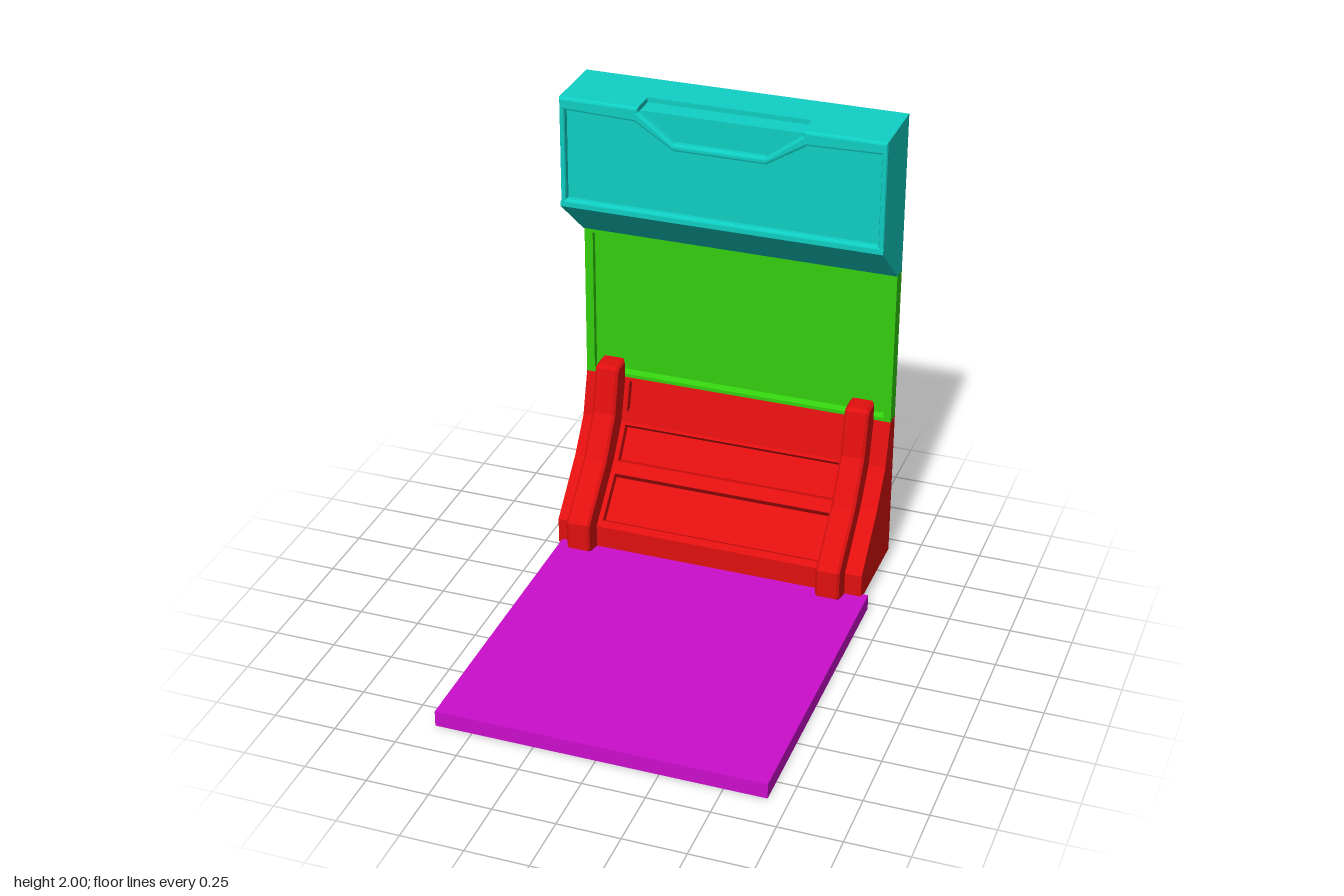
import * as THREE from 'three';

const TEAL = 0x0fd0c4, GREEN = 0x34d00e, RED = 0xe00f0f, MAGENTA = 0xcc0ecc;
const X0 = -0.665, X1 = 0.645;

export function createModel() {
  const model = new THREE.Group();
  const materials = {};
  const material = (color) =>
    (materials[color] ??= new THREE.MeshStandardMaterial({ color, flatShading: true }));
  const toShape = (pts) => new THREE.Shape(pts.map(([a, b]) => new THREE.Vector2(a, b)));

  function add(parent, name, geometry, color) {
    const mesh = new THREE.Mesh(geometry, material(color));
    mesh.name = name;
    parent.add(mesh);
    return mesh;
  }

  // Side profile of [distance behind centre, height] points, swept from x0 to x1
  function sweep(parent, name, pts, x0, x1, color, bevel = 0) {
    const g = new THREE.ExtrudeGeometry(toShape(pts), {
      depth: x1 - x0 - 2 * bevel,
      bevelEnabled: bevel > 0, bevelSize: bevel, bevelThickness: bevel,
      bevelOffset: -bevel, bevelSegments: 1,
    });
    g.translate(0, 0, x0 + bevel);
    g.rotateY(Math.PI / 2);
    return add(parent, name, g, color);
  }

  // Four points of a panel recess cut square into the slope a-b between heights y1 and y2
  function recess(a, b, y1, y2, depth) {
    const ds = b[0] - a[0], dy = b[1] - a[1], len = Math.hypot(ds, dy);
    const at = (y, d) => [
      a[0] + (ds * (y - a[1])) / dy + (dy / len) * d,
      y - (ds / len) * d,
    ];
    return [at(y1, 0), at(y1 + 0.008, depth), at(y2 - 0.004, depth), at(y2, 0)];
  }

  // Floor slab
  const floor = add(model, 'floorSlab', new THREE.BoxGeometry(1.32, 0.065, 1.315), MAGENTA);
  floor.position.set(0.01, 0.0325, 0.1975);

  // Lower cabinet: plain ends and a middle with three recessed panels
  const lower = new THREE.Group();
  lower.name = 'lowerCabinet';
  model.add(lower);
  const foot = [0.44, 0.05];
  const slope = [[0.44, 0.16], [0.64, 0.36], [0.74, 0.5], [0.79, 0.685]];
  const back = [[0.855, 0.685], [0.855, 0.045]];
  const plain = [foot, ...slope, ...back];
  sweep(lower, 'lowerEndRight', plain, X0, -0.475, RED);
  sweep(lower, 'lowerEndLeft', plain, 0.455, X1, RED);
  const panelHeights = [[0.18, 0.325], [0.365, 0.49], [0.54, 0.67]];
  const paneled = [foot];
  panelHeights.forEach(([y1, y2], i) => {
    paneled.push(slope[i], ...recess(slope[i], slope[i + 1], y1, y2, 0.035));
  });
  paneled.push(slope[3], ...back);
  sweep(lower, 'lowerPanels', paneled, -0.475, 0.455, RED);

  // Curved buttress ribs standing proud of the lower cabinet
  const rib = [
    [0.46, 0.05], [0.39, 0.065], [0.35, 0.09], [0.35, 0.21], [0.55, 0.4], [0.66, 0.57],
    [0.703, 0.755], [0.72, 0.765], [0.795, 0.768], [0.795, 0.66], [0.78, 0.5], [0.6, 0.25],
  ];
  sweep(lower, 'ribRight', rib, -0.595, -0.495, RED, 0.01);
  sweep(lower, 'ribLeft', rib, 0.475, 0.575, RED, 0.01);

  // Middle back panel with a shallow framed recess
  const middle = new THREE.Group();
  middle.name = 'middlePanel';
  model.add(middle);
  const edge = [[0.855, 0.685], [0.79, 0.685], [0.79, 1.34], [0.855, 1.34]];
  sweep(middle, 'middleEdgeRight', edge, X0, -0.63, GREEN);
  sweep(middle, 'middleEdgeLeft', edge, 0.615, X1, GREEN);
  sweep(middle, 'middleBoard', [
    [0.855, 0.685], [0.79, 0.685], [0.79, 0.7], [0.815, 0.71],
    [0.815, 1.315], [0.79, 1.325], [0.79, 1.34], [0.855, 1.34],
  ], -0.63, 0.615, GREEN);

  // Upper cabinet: body with sloped underside and a shelf for the top notch
  const upper = new THREE.Group();
  upper.name = 'upperCabinet';
  model.add(upper);
  const UX = -0.67;
  sweep(upper, 'upperBody', [
    [0.855, 1.34], [0.79, 1.34], [0.555, 1.54], [0.555, 1.56], [0.585, 1.57],
    [0.585, 1.98], [0.67, 1.98], [0.67, 2], [0.855, 2],
  ], UX, X1, TEAL);
  const topBlock = [[0.67, 1.97], [0.57, 1.97], [0.57, 2], [0.67, 2]];
  sweep(upper, 'topBlockRight', topBlock, UX, -0.345, TEAL);
  sweep(upper, 'topBlockLeft', topBlock, 0.315, X1, TEAL);

  // Bevelled front rim that dips around the notch
  const rim = toShape([
    [UX, 1.545], [X1, 1.545], [X1, 2], [0.315, 2], [0.315, 1.98],
    [0.17, 1.87], [-0.2, 1.87], [-0.345, 1.98], [-0.345, 2], [UX, 2],
  ]);
  rim.holes.push(toShape([
    [-0.648, 1.57], [-0.648, 1.948], [-0.36, 1.94], [-0.2, 1.84],
    [0.17, 1.84], [0.33, 1.94], [0.623, 1.948], [0.623, 1.57],
  ]));
  const b = 0.01;
  const rimGeometry = new THREE.ExtrudeGeometry(rim, {
    depth: 0.03, bevelEnabled: true, bevelSize: b, bevelThickness: b,
    bevelOffset: -b, bevelSegments: 2,
  });
  rimGeometry.translate(0, 0, -0.555 - 0.03 - b);
  add(upper, 'upperRim', rimGeometry, TEAL);

  return model;
}
